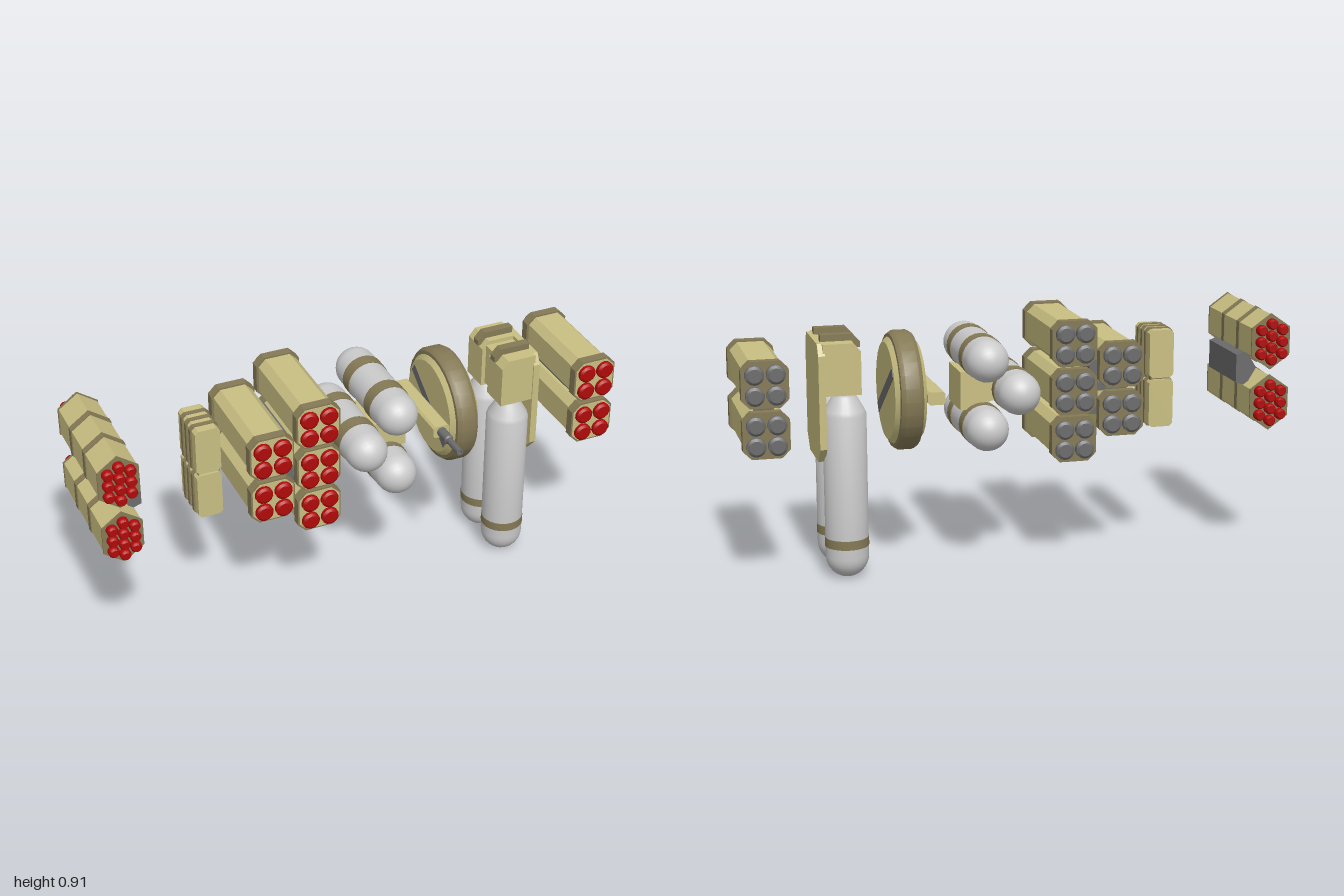
import * as THREE from 'three';
import { toCreasedNormals } from 'three/addons/utils/BufferGeometryUtils.js';

const mat = (color) => new THREE.MeshStandardMaterial({ color });
const TAN = mat(0xc9bf82), BROWN = mat(0x857a56), RED = mat(0xb00a0a);
const GREY = mat(0xcccccc), DARK = mat(0x6c6c6c);

function add(parent, name, geometry, material, x = 0, y = 0, z = 0) {
  const mesh = new THREE.Mesh(geometry, material);
  mesh.name = name;
  mesh.position.set(x, y, z);
  parent.add(mesh);
  return mesh;
}
function group(parent, name, x = 0, y = 0, z = 0) {
  const g = new THREE.Group();
  g.name = name;
  g.position.set(x, y, z);
  parent.add(g);
  return g;
}
const box = (w, h, d) => new THREE.BoxGeometry(w, h, d);

// Outline in x/y drawn out from z0 to z1
function prism(points, z0, z1) {
  const shape = new THREE.Shape(points.map(([x, y]) => new THREE.Vector2(x, y)));
  return new THREE.ExtrudeGeometry(shape, { depth: z1 - z0, bevelEnabled: false }).translate(0, 0, z0);
}
// Outline given as [z, y], drawn out from x0 to x1
const sidePrism = (points, x0, x1) =>
  prism(points.map(([z, y]) => [-z, y]), x0, x1).rotateY(Math.PI / 2);

const octagon = (a, b, c) => [
  [a - c, -b], [a, c - b], [a, b - c], [a - c, b], [c - a, b], [-a, b - c], [-a, c - b], [c - a, -b],
];
const hexagon = (a, r) => [[0, -r], [a, -r / 2], [a, r / 2], [0, r], [-a, r / 2], [-a, -r / 2]];

// Turned solid from [radius, height], with crisp edges
const turned = (profile, sides = 20) => toCreasedNormals(
  new THREE.LatheGeometry(profile.map(([r, h]) => new THREE.Vector2(r, h)), sides), 0.6);

// Blunt round tip along z, pointing forward (dir 1) or back (dir -1)
const tip = (r, length, dir) =>
  turned([[0, 0], [r, 0], [r, length * 0.7], [r * 0.72, length], [0, length]], 14).rotateX(dir * Math.PI / 2);

// Four-tube launcher with chamfered body and end frames
function quadPod(parent, x, y) {
  const pod = group(parent, 'quadPod', x, y);
  add(pod, 'podBody', prism(octagon(0.074, 0.077, 0.027), -0.225, 0.16), TAN);
  for (const [z0, z1] of [[0.135, 0.17], [-0.236, -0.202]]) {
    add(pod, 'endFrame', prism(octagon(0.083, 0.083, 0.03), z0, z1), BROWN);
  }
  add(pod, 'frontPlate', prism(octagon(0.077, 0.077, 0.028), 0.17, 0.172), TAN);
  for (const dx of [-0.037, 0.037]) for (const dy of [-0.037, 0.037]) {
    add(pod, 'rocketTip', tip(0.033, 0.022, 1), RED, dx, dy, 0.169);
    add(pod, 'exhaust', tip(0.034, 0.024, -1), DARK, dx, dy, -0.235);
  }
}

// Ten-tube hexagonal launcher
function hexPod(parent, x, y) {
  const pod = group(parent, 'hexPod', x, y);
  add(pod, 'podBody', prism(hexagon(0.07, 0.1), -0.263, 0.18), TAN);
  for (const z of [0.178, 0.03, -0.12, -0.261]) {
    const half = Math.abs(z) > 0.15 ? 0.003 : 0.013;
    add(pod, 'band', prism(hexagon(0.0735, 0.104), z - half, z + half), BROWN);
  }
  for (const [dx, count] of [[-0.04, 3], [0, 4], [0.04, 3]]) {
    for (let i = 0; i < count; i++) {
      const dy = (i - (count - 1) / 2) * 0.044;
      add(pod, 'rocketTip', tip(0.02, 0.028, 1), RED, dx, dy, 0.18);
      add(pod, 'rocketTail', tip(0.02, 0.028, -1), RED, dx, dy, -0.262);
    }
  }
}

export function createModel() {
  const root = new THREE.Group();
  root.name = 'equipmentSet';

  // Pair of hexagonal launchers with a side bracket
  const hexPair = group(root, 'hexLauncher', -0.925, 0.692);
  hexPod(hexPair, 0, 0.113);
  hexPod(hexPair, 0, -0.113);
  add(hexPair, 'bracket', prism([[0.02, 0], [0.06, -0.065], [0.098, -0.052], [0.098, 0.052], [0.06, 0.065]],
    -0.18, 0.1), DARK);

  // Slim stacked magazine with ribs
  const magazine = group(root, 'magazine', -0.558, 0.657, -0.037);
  for (const dy of [-0.092, 0.092]) {
    add(magazine, 'magazineBlock', prism(octagon(0.046, 0.089, 0.012), -0.085, 0.085), TAN, 0, dy);
    for (const dz of [-0.042, 0, 0.042]) {
      add(magazine, 'rib', prism(octagon(0.052, 0.092, 0.013), -0.009, 0.009), BROWN, 0, dy, dz);
    }
  }
  add(magazine, 'magazineCore', box(0.075, 0.3, 0.15), BROWN);

  // Five-pod cluster and its backing bracket
  const cluster = group(root, 'podCluster');
  for (const y of [0.745, 0.567]) quadPod(cluster, -0.368, y);
  for (const y of [0.83, 0.655, 0.481]) quadPod(cluster, -0.192, y);
  add(cluster, 'bracket', box(0.03, 0.2, 0.29), DARK, -0.28, 0.655, -0.035);
  add(cluster, 'spacer', box(0.15, 0.03, 0.29), DARK, -0.33, 0.656, -0.035);

  // Two-pod launcher
  const pair = group(root, 'podPair');
  for (const y of [0.745, 0.566]) quadPod(pair, 0.912, y);
  add(pair, 'spacer', box(0.07, 0.06, 0.303), DARK, 0.912, 0.655, -0.034);

  // Three banded tanks on a flared mount
  const tanks = group(root, 'tankCluster', 0, 0, -0.035);
  for (const [x, y] of [[0.005, 0.655], [0.122, 0.78], [0.122, 0.53]]) {
    add(tanks, 'tank', new THREE.CapsuleGeometry(0.077, 0.346, 8, 24).rotateX(Math.PI / 2), GREY, x, y);
    for (const z of [0.09, -0.093]) {
      add(tanks, 'tankBand', turned([[0.07, -0.025], [0.08, -0.025], [0.08, 0.025], [0.07, 0.025]], 24)
        .rotateX(Math.PI / 2), BROWN, x, y, z);
    }
  }
  add(tanks, 'tankMount', prism([[0.05, 0.62], [0.11, 0.61], [0.16, 0.585], [0.2, 0.585], [0.2, 0.725],
    [0.16, 0.725], [0.11, 0.7], [0.05, 0.69]], -0.09, 0.09), TAN);

  // Round shield with a dark rim and diagonal strips
  const shield = group(root, 'shield', 0.398, 0.655, -0.04);
  add(shield, 'shieldDisc', turned([[0, -0.057], [0.175, -0.057], [0.2, -0.035], [0.2, 0.035],
    [0.175, 0.057], [0, 0.057]], 28).rotateZ(-Math.PI / 2), TAN);
  add(shield, 'shieldRim', turned([[0.19, -0.042], [0.205, -0.04], [0.215, -0.025], [0.215, 0.025],
    [0.205, 0.04], [0.19, 0.042]], 28).rotateZ(-Math.PI / 2), BROWN);
  add(shield, 'shieldStrip', box(0.118, 0.04, 0.33), DARK).rotation.x = 0.6;

  // Gun carried beside the shield
  const gun = group(root, 'gun', 0.306, 0.655);
  add(gun, 'gunBody', prism(octagon(0.032, 0.023, 0.008), -0.213, 0.135), TAN);
  add(gun, 'barrel', turned([[0, 0.13], [0.018, 0.13], [0.018, 0.195], [0.013, 0.2], [0.013, 0.285],
    [0.007, 0.285], [0.007, 0.25], [0, 0.25]], 14).rotateX(Math.PI / 2), DARK);

  // Twin hanging tanks with hoods and a back plate
  const hanging = group(root, 'hangingTanks', 0, 0, -0.035);
  const profile = [];
  for (let i = 0; i <= 8; i++) {
    const a = i / 8 * Math.PI / 2;
    profile.push([0.078 * Math.sin(a), 0.08 - 0.08 * Math.cos(a)]);
  }
  profile.push([0.078, 0.6], [0.072, 0.615], [0.043, 0.665], [0.04, 0.67], [0.04, 0.76], [0, 0.76]);
  for (const s of [-1, 1]) {
    add(hanging, 'hangingTank', turned(profile, 24), GREY, 0.62, 0, s * 0.087);
    add(hanging, 'tankBand', turned([[0.07, 0.117], [0.0795, 0.117], [0.0795, 0.15], [0.07, 0.15]], 24),
      BROWN, 0.62, 0, s * 0.087);
    add(hanging, 'hood', prism([[0.565, 0.675], [0.7, 0.675], [0.7, 0.86], [0.59, 0.86], [0.565, 0.83]],
      -0.055, 0.055), TAN, 0, 0, s * 0.08);
    add(hanging, 'hoodStrip', prism([[0.558, 0.835], [0.6, 0.835], [0.7, 0.85], [0.7, 0.884], [0.585, 0.884],
      [0.558, 0.855]], -0.016, 0.016), BROWN, 0, 0, s * 0.066);
  }
  add(hanging, 'hoodBridge', box(0.12, 0.16, 0.08), TAN, 0.64, 0.765, 0);
  add(hanging, 'backPlate', sidePrism([[-0.09, 0.43], [0.09, 0.43], [0.14, 0.485], [0.14, 0.82],
    [0.115, 0.86], [-0.115, 0.86], [-0.14, 0.82], [-0.14, 0.485]], 0.692, 0.717), TAN);

  return root;
}
